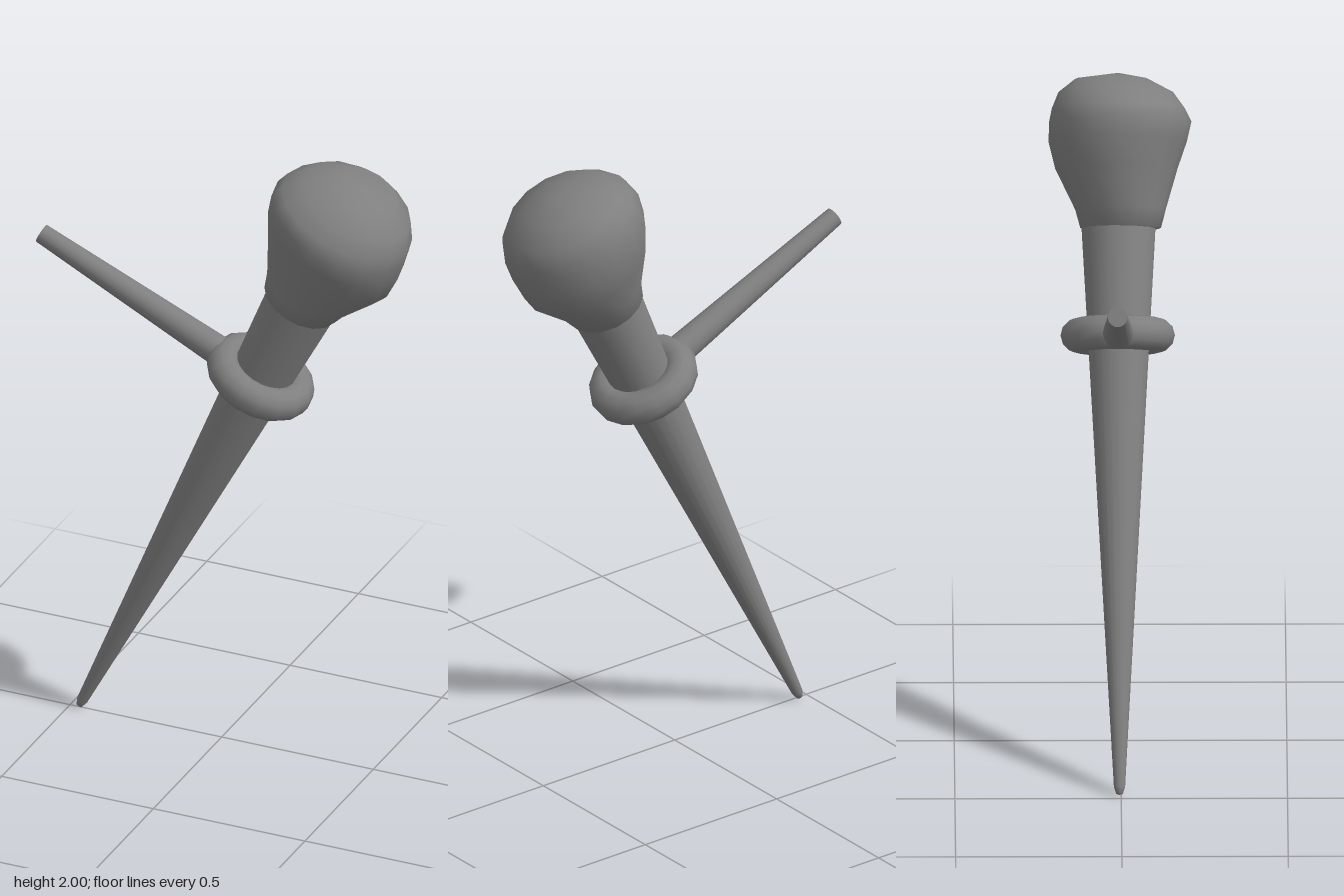
import * as THREE from 'three';
import { mergeVertices } from 'three/addons/utils/BufferGeometryUtils.js';

const material = new THREE.MeshStandardMaterial({ color: 0x7f7f7f });

function addMesh(parent, name, geometry) {
  const mesh = new THREE.Mesh(geometry, material);
  mesh.name = name;
  parent.add(mesh);
  return mesh;
}

// Lumpy head: rings of [height, left reach, right reach, front reach, back reach]
function headGeometry() {
  const rings = [
    [-0.005, 0.09, 0.09, 0.09, 0.09], [0, 0.122, 0.118, 0.128, 0.115],
    [0.055, 0.137, 0.14, 0.142, 0.13], [0.18, 0.195, 0.218, 0.178, 0.19],
    [0.26, 0.228, 0.222, 0.206, 0.21], [0.32, 0.24, 0.215, 0.22, 0.208],
    [0.36, 0.226, 0.207, 0.2, 0.2], [0.41, 0.18, 0.177, 0.165, 0.18],
    [0.45, 0.1, 0.105, 0.09, 0.13], [0.468, 0, 0, 0, 0],
  ];
  const profile = rings.map(([y, left]) => new THREE.Vector2(left, y));
  const lathe = new THREE.LatheGeometry(profile, 16);
  const pos = lathe.attributes.position;
  for (let i = 0; i < pos.count; i++) {
    const [, left, right, front, back] = rings[i % rings.length];
    if (left === 0) continue;
    const x = pos.getX(i) / left, z = pos.getZ(i) / left;
    pos.setX(i, (right - left) / 2 + x * (right + left) / 2);
    pos.setZ(i, (front - back) / 2 + z * (front + back) / 2);
  }
  lathe.deleteAttribute('uv');
  lathe.deleteAttribute('normal');
  const geometry = mergeVertices(lathe, 1e-4);
  geometry.computeVertexNormals();
  return geometry;
}

export function createModel() {
  const model = new THREE.Group();
  model.name = 'ringHandledClub';

  // Everything leans along one tilted axis, starting at the tip
  const club = new THREE.Group();
  club.name = 'club';
  club.position.set(-0.47, 0.01, -0.005);
  club.rotation.z = -THREE.MathUtils.degToRad(25.5);
  model.add(club);

  // Tapered shaft with a small rounded tip
  const shaftProfile = [[0, -0.006], [0.01, -0.002], [0.017, 0.02], [0.112, 1.72], [0, 1.73]];
  addMesh(club, 'shaft', new THREE.LatheGeometry(
    shaftProfile.map(([r, y]) => new THREE.Vector2(r, y)), 20));

  // Head on top of the shaft
  addMesh(club, 'head', headGeometry()).position.y = 1.706;

  // Ring collar around the shaft
  const ring = addMesh(club, 'ring', new THREE.TorusGeometry(0.12, 0.052, 12, 16));
  ring.rotation.x = Math.PI / 2;
  ring.position.set(0, 1.382, -0.003);

  // Side handle, tapering outwards from the ring
  const start = new THREE.Vector3(-0.125, 1.375, -0.002);
  const end = new THREE.Vector3(-0.795, 1.366, -0.006);
  const along = end.clone().sub(start);
  const handle = addMesh(club, 'sideHandle',
    new THREE.CylinderGeometry(0.03, 0.047, along.length(), 14));
  handle.position.copy(start).add(end).multiplyScalar(0.5);
  handle.quaternion.setFromUnitVectors(new THREE.Vector3(0, 1, 0), along.normalize());

  return model;
}
